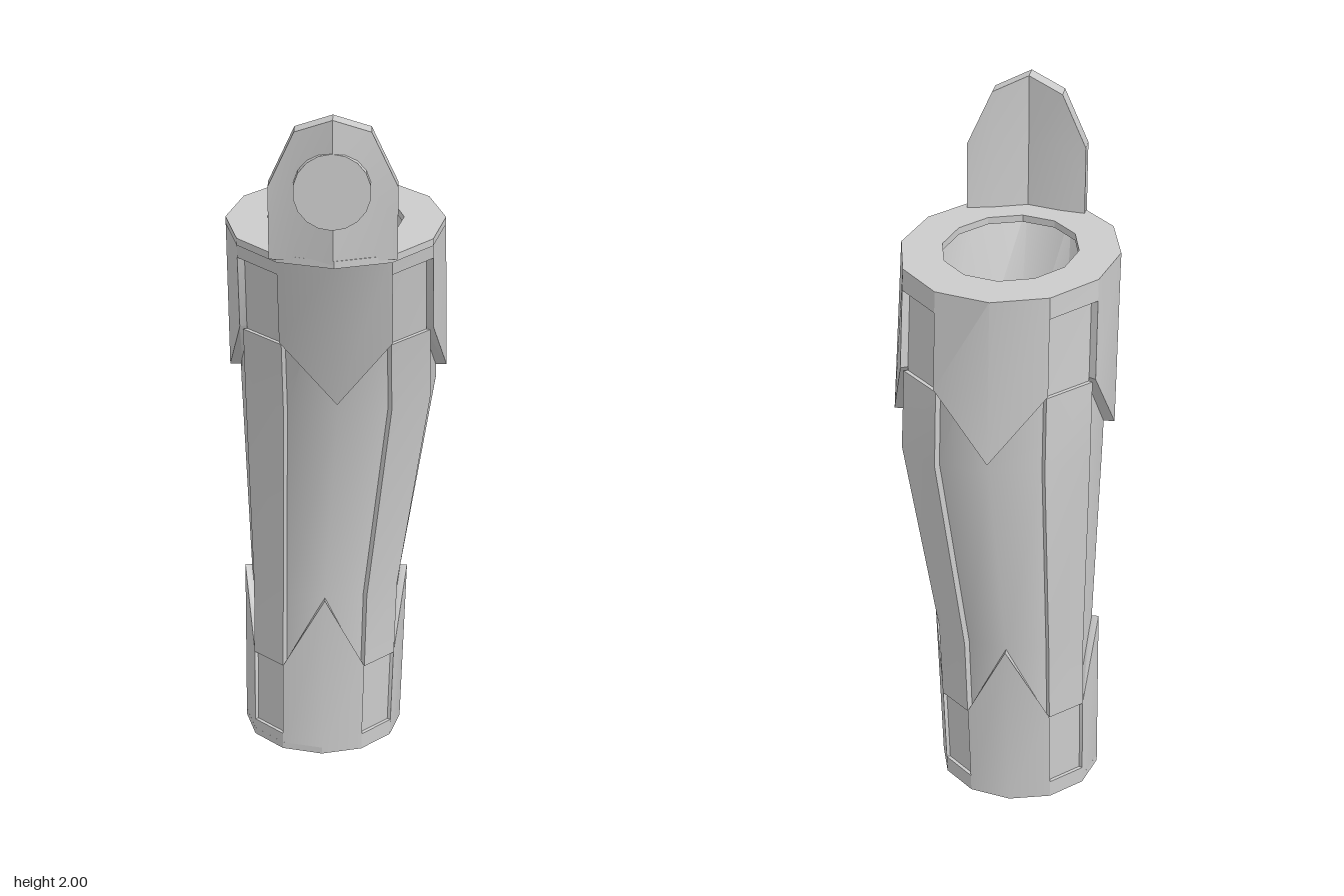
import * as THREE from 'three';
import { toCreasedNormals } from 'three/addons/utils/BufferGeometryUtils.js';

const SIDES = 12;
const material = new THREE.MeshStandardMaterial({ color: 0xcccccc, side: THREE.DoubleSide });

// Cross-sections of the sleeve: height, centre x, centre z, radius x, radius z
const SECTIONS = [
  [0, -0.05, -0.075, 0.215, 0.215],
  [0.51, -0.04, -0.08, 0.222, 0.222],
  [1.11, -0.003, -0.095, 0.282, 0.282],
  [1.62, -0.01, 0, 0.275, 0.368],
];

// Point on the sleeve at twelfth k (0 = front) and height y, pushed out by off
function sleevePoint(k, y, off) {
  let i = 0;
  while (i < SECTIONS.length - 2 && y > SECTIONS[i + 1][0]) i++;
  const a = SECTIONS[i], b = SECTIONS[i + 1];
  const t = (y - a[0]) / (b[0] - a[0]);
  const [, cx, cz, rx, rz] = a.map((v, n) => THREE.MathUtils.lerp(v, b[n], t));
  const ang = (k / SIDES) * Math.PI * 2;
  return [cx + Math.sin(ang) * (rx + off), y, cz + Math.cos(ang) * (rz + off)];
}

// Thick panel from columns [k, [heights]], between two offsets of a surface
function panel(name, cols, outer, inner, point = sleevePoint) {
  const pos = [];
  const m = cols.length - 1, n = cols[0][1].length - 1;
  const O = (i, j) => point(cols[i][0], cols[i][1][j], outer);
  const I = (i, j) => point(cols[i][0], cols[i][1][j], inner);
  const quad = (a, b, c, d) => pos.push(...a, ...b, ...c, ...a, ...c, ...d);
  for (let i = 0; i < m; i++) {
    for (let j = 0; j < n; j++) {
      quad(O(i, j), O(i + 1, j), O(i + 1, j + 1), O(i, j + 1));
      quad(I(i + 1, j), I(i, j), I(i, j + 1), I(i + 1, j + 1));
    }
    quad(I(i, 0), I(i + 1, 0), O(i + 1, 0), O(i, 0));
    quad(O(i, n), O(i + 1, n), I(i + 1, n), I(i, n));
  }
  for (let j = 0; j < n; j++) {
    quad(I(0, j), O(0, j), O(0, j + 1), I(0, j + 1));
    quad(O(m, j), I(m, j), I(m, j + 1), O(m, j + 1));
  }
  const geo = new THREE.BufferGeometry();
  geo.setAttribute('position', new THREE.Float32BufferAttribute(pos, 3));
  const mesh = new THREE.Mesh(toCreasedNormals(geo, 0.65), material);
  mesh.name = name;
  return mesh;
}

// Flat end ring with a polygonal opening
function endRing(name, y, thickness, off, hole) {
  const outline = [], opening = [];
  for (let k = 0; k < SIDES; k++) {
    const p = sleevePoint(k, y, off);
    const a = (k / SIDES) * Math.PI * 2;
    outline.push(new THREE.Vector2(p[0], -p[2]));
    opening.push(new THREE.Vector2(hole.x + Math.sin(a) * hole.rx, -hole.z - Math.cos(a) * hole.rz));
  }
  const shape = new THREE.Shape(outline);
  shape.holes.push(new THREE.Path(opening));
  const geo = new THREE.ExtrudeGeometry(shape, { depth: thickness, bevelEnabled: false });
  geo.rotateX(-Math.PI / 2);
  const mesh = new THREE.Mesh(geo, material);
  mesh.name = name;
  mesh.position.y = y === 0 ? 0 : y - thickness;
  return mesh;
}

// Upright tab surface: V-shaped in plan, gently bent in height
function tabPoint(x, y, off) {
  const ax = Math.abs(x);
  const bow = ax <= 0.1 ? ax * 0.36 : 0.036 + (ax - 0.1) * 0.2;
  const bend = y < 1.81 ? (1.81 - y) * 0.06 : 0;
  return [x - 0.013, y, 0.41 - bow - bend + off];
}

export function createModel() {
  const model = new THREE.Group();
  model.name = 'sleeve';

  // Hollow tapered body
  const all = Array.from({ length: SIDES + 1 }, (_, k) => [k, [0, 0.51, 1.11, 1.62]]);
  model.add(panel('body', all, 0, -0.008));

  for (let q = 0; q < 4; q++) {
    const k = q * 3;
    // Cuffs with one pointed tongue per side
    model.add(panel('upperCuffTongue', [
      [k - 1, [1.34, 1.62]], [k, [1.15, 1.62]], [k + 1, [1.34, 1.62]],
    ], 0.031, -0.004));
    model.add(panel('lowerCuffTongue', [
      [k - 1, [0, 0.28]], [k, [0, 0.51]], [k + 1, [0, 0.28]],
    ], 0.02, -0.004));
    // Cuff bands closing the notches between tongues
    model.add(panel('upperCuffBand', [[k + 1, [1.56, 1.62]], [k + 2, [1.56, 1.62]]], 0.031, -0.004));
    model.add(panel('lowerCuffBand', [[k + 1, [0, 0.05]], [k + 2, [0, 0.05]]], 0.02, -0.004));
    // Diagonal straps and their recessed ends
    const strap = [0.28, 0.51, 1.11, 1.33];
    model.add(panel('strap', [[k + 1, strap], [k + 2, strap]], 0.021, -0.004));
    for (const ends of [[0.05, 0.28], [1.33, 1.56]]) {
      model.add(panel('strapEnd', [[k + 1, ends], [k + 2, ends]], 0.009, -0.004));
    }
  }

  // End rings
  model.add(endRing('topRim', 1.62, 0.02, 0.031, { x: -0.01, z: 0, rx: 0.19, rz: 0.25 }));
  model.add(endRing('bottomRim', 0, 0.02, 0.02, { x: -0.05, z: -0.075, rx: 0.1, rz: 0.1 }));

  // Front tab with round boss
  const side = [1.61, 1.72, 1.81], shoulder = [1.61, 1.81, 1.96], peak = [1.61, 1.81, 2];
  model.add(panel('frontTab', [
    [-0.17, side], [-0.1, shoulder], [0, peak], [0.1, shoulder], [0.17, side],
  ], 0, -0.06, tabPoint));
  const boss = new THREE.Mesh(
    toCreasedNormals(new THREE.CylinderGeometry(0.102, 0.102, 0.045, 18).rotateX(Math.PI / 2), 0.65),
    material,
  );
  boss.name = 'tabBoss';
  boss.position.set(-0.015, 1.81, 0.389);
  model.add(boss);

  return model;
}
